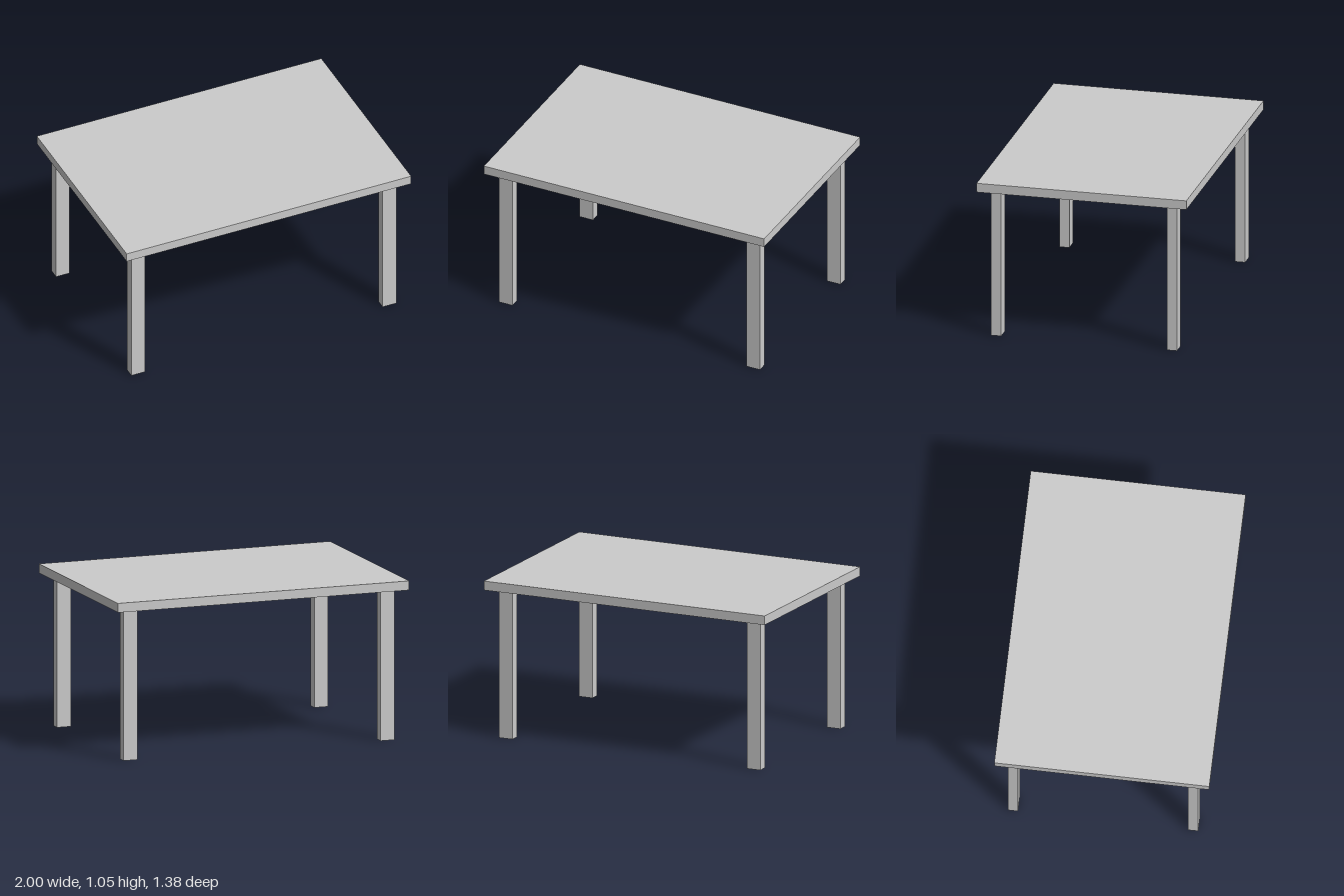
import * as THREE from 'three';

export function createModel() {
  const group = new THREE.Group();
  const material = new THREE.MeshStandardMaterial({ color: 0xcccccc });

  const addBox = (name, [w, h, d], [x, y, z]) => {
    const mesh = new THREE.Mesh(new THREE.BoxGeometry(w, h, d), material);
    mesh.name = name;
    mesh.position.set(x, y, z);
    group.add(mesh);
  };

  // Flat rectangular top
  const height = 1.046, thickness = 0.06, legHeight = height - thickness;
  addBox('tableTop', [2, thickness, 1.384], [0, height - thickness / 2, 0]);

  // Four straight legs, set in from the corners
  for (const [side, sx] of [['Left', 1], ['Right', -1]]) {
    for (const [end, sz] of [['front', 1], ['back', -1]]) {
      addBox(`${end}${side}Leg`, [0.096, legHeight, 0.066], [sx * 0.883, legHeight / 2, sz * 0.58]);
    }
  }

  return group;
}
